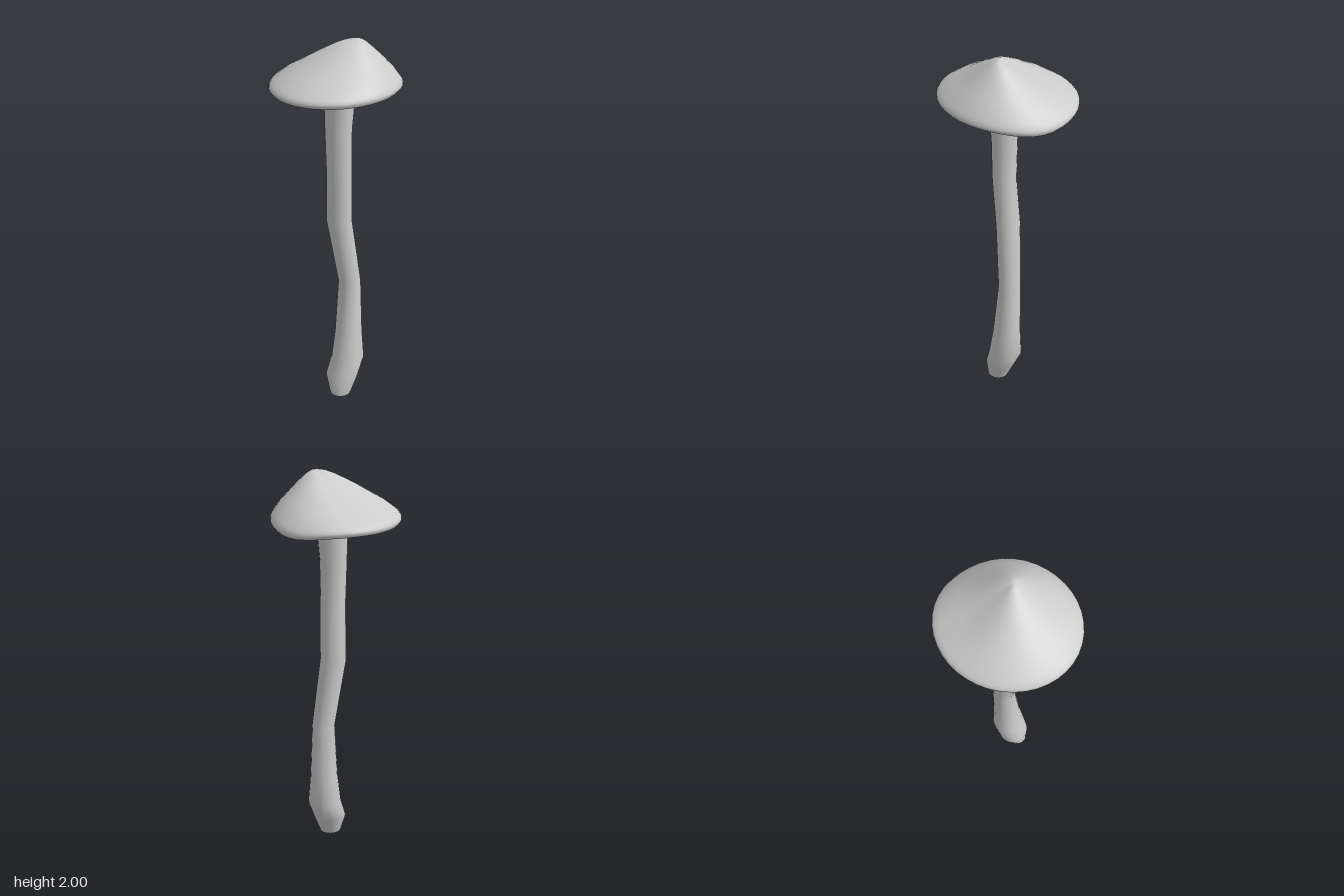
import * as THREE from 'three';
import { mergeVertices } from 'three/addons/utils/BufferGeometryUtils.js';

const material = new THREE.MeshStandardMaterial({ color: 0xcccccc });

// Skins closed rings, listed along the outside from bottom to top; point(ring, angle) gives [x, y, z].
function loft(rings, sides, point) {
  const positions = [], index = [];
  rings.forEach((ring, i) => {
    for (let j = 0; j < sides; j++) {
      positions.push(...point(ring, (j / sides) * Math.PI * 2));
      if (i === rings.length - 1) continue;
      const a = i * sides + j, b = i * sides + ((j + 1) % sides);
      index.push(a, a + sides, b, b, a + sides, b + sides);
    }
  });
  const geometry = new THREE.BufferGeometry();
  geometry.setAttribute('position', new THREE.Float32BufferAttribute(positions, 3));
  geometry.setIndex(index);
  return geometry;
}

// Crooked stem: [y, xMin, xMax, zMin, zMax] for each ring
function makeStem() {
  const rings = [
    [0, 0.045, 0.045, 0.035, 0.035],
    [0, -0.012, 0.1, -0.022, 0.094],
    [0, -0.012, 0.1, -0.022, 0.094], // doubled ring keeps the foot edge sharp
    [0.1, -0.045, 0.13, -0.067, 0.096],
    [0.2, -0.03, 0.146, -0.114, 0.065],
    [0.36, -0.015, 0.13, -0.109, 0.04],
    [0.66, -0.005, 0.114, -0.108, 0.009],
    [1.02, -0.056, 0.08, -0.072, 0.05],
    [1.3, -0.046, 0.085, -0.054, 0.067],
    [1.53, -0.053, 0.086, -0.057, 0.073],
    [1.75, -0.058, 0.104, -0.071, 0.083],
    [1.83, -0.058, 0.104, -0.071, 0.083],
  ];
  const geometry = loft(rings, 20, ([y, x0, x1, z0, z1], a) => [
    (x0 + x1) / 2 + ((x1 - x0) / 2) * Math.cos(a),
    y,
    (z0 + z1) / 2 + ((z1 - z0) / 2) * Math.sin(a),
  ]);
  geometry.computeVertexNormals();
  return new THREE.Mesh(geometry, material);
}

// Lopsided cap: hollow underside, thick rounded rim, off-centre blunt peak
function makeCap() {
  const RX = 0.322, RZ = 0.352;
  const peak = new THREE.Vector3(0.1, 2, -0.018);
  // Underside: radius fraction and height above the rim
  const under = [[0, 0.06], [0.25, 0.055], [0.55, 0.032], [0.78, 0.002], [0.86, -0.014], [0.92, -0.019], [0.97, -0.014]]
    .map(([f, lift]) => ({ f, lift }));
  // Upper side: radius fraction and share of the climb to the peak
  const upper = [[1, 0], [0.995, 0.05], [0.97, 0.11], [0.92, 0.18], [0.8, 0.34], [0.66, 0.48],
    [0.5, 0.65], [0.35, 0.79], [0.22, 0.905], [0.13, 0.965], [0.06, 0.994], [0, 1]]
    .map(([f, climb]) => ({ f, climb }));

  const geometry = loft([...under, ...upper], 40, ({ f, lift, climb }, a) => {
    const c = Math.cos(a), s = Math.sin(a);
    // Nearly level rim that droops at the back left
    const rimY = 1.763 + 0.006 * c - 0.03 * Math.max(0, Math.cos(a + 1.1)) ** 5;
    if (climb === undefined) return [RX * f * c, THREE.MathUtils.lerp(1.76, rimY, f) + lift, RZ * f * s];
    // Slopes sag to the front and back, and most at the back right
    const sag = 0.1 * Math.sin(a + 0.4) ** 2 + 0.07 * Math.max(0, Math.cos(a - Math.PI * 1.25)) ** 4;
    const h = climb - 4 * f * (1 - f) * sag;
    return [
      peak.x * (1 - f) + RX * f * c,
      rimY + (peak.y - rimY) * h,
      peak.z * (1 - f) + RZ * f * s,
    ];
  });
  const merged = mergeVertices(geometry, 1e-5);
  merged.computeVertexNormals();
  return new THREE.Mesh(merged, material);
}

export function createModel() {
  const model = new THREE.Group();
  model.name = 'mushroom';
  const stem = makeStem();
  stem.name = 'stem';
  const cap = makeCap();
  cap.name = 'cap';
  model.add(stem, cap);
  return model;
}
